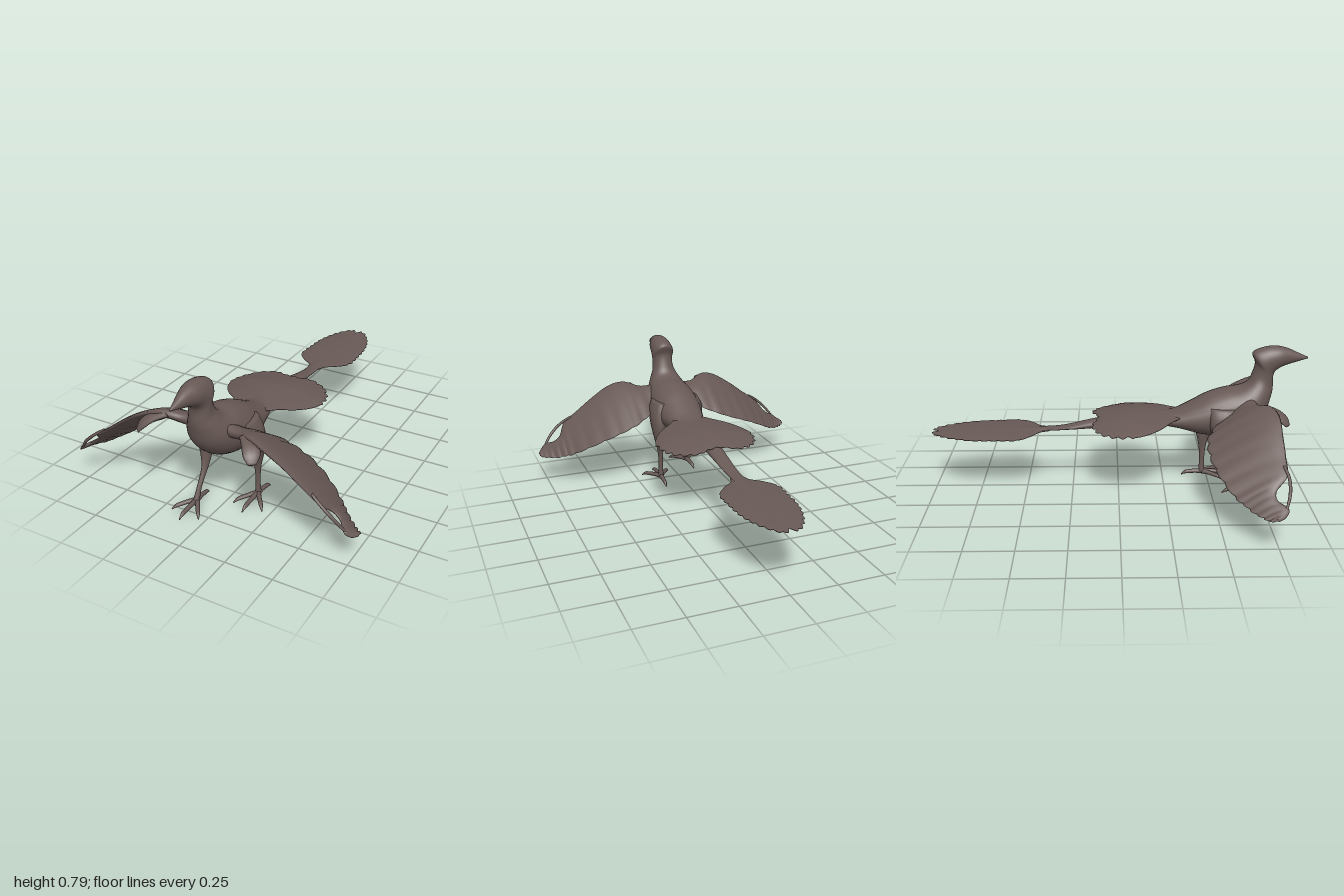
import * as THREE from 'three';

const V = (x, y, z) => new THREE.Vector3(x, y, z);
const TAU = Math.PI * 2;

// Smoothly resample rows of numbers, n steps per gap
function smooth(rows, n) {
  const out = [], last = rows.length - 1;
  for (let k = 0; k <= last * n; k++) {
    const i = Math.min(Math.floor(k / n), last - 1), t = k / n - i;
    const [p, a, b, q] = [i - 1, i, i + 1, i + 2].map(j => rows[Math.max(0, Math.min(last, j))]);
    out.push(a.map((v, c) => v + 0.5 * t * (b[c] - p[c]
      + t * (2 * p[c] - 5 * v + 4 * b[c] - q[c] + t * (3 * (v - b[c]) + q[c] - p[c])))));
  }
  return out;
}

// Closed skin over a list of equal-length rings, facing outward
function skin(rings) {
  const n = rings[0].length, pos = [], idx = [];
  rings.forEach(r => r.forEach(p => pos.push(p.x, p.y, p.z)));
  for (let i = 0; i < rings.length - 1; i++) {
    for (let j = 0; j < n; j++) {
      const a = i * n + j, b = i * n + (j + 1) % n;
      idx.push(a, b, a + n, b, b + n, a + n);
    }
  }
  [0, rings.length - 1].forEach((i, end) => {
    const c = rings[i].reduce((s, p) => s.add(p), V(0, 0, 0)).divideScalar(n);
    const ci = pos.length / 3;
    pos.push(c.x, c.y, c.z);
    for (let j = 0; j < n; j++) {
      const a = i * n + j, b = i * n + (j + 1) % n;
      idx.push(...(end ? [a, b, ci] : [b, a, ci]));
    }
  });
  // flip the winding if the enclosed volume is negative
  let vol = 0;
  const at = i => V(pos[i * 3], pos[i * 3 + 1], pos[i * 3 + 2]);
  for (let i = 0; i < idx.length; i += 3) vol += at(idx[i]).dot(at(idx[i + 1]).cross(at(idx[i + 2])));
  if (vol < 0) idx.reverse();
  const g = new THREE.BufferGeometry();
  g.setAttribute('position', new THREE.Float32BufferAttribute(pos, 3));
  g.setIndex(idx);
  g.computeVertexNormals();
  return g;
}

function ellipse(c, a, b, n = 14) {
  return Array.from({ length: n }, (_, j) => c.clone()
    .addScaledVector(a, Math.cos(j / n * TAU)).addScaledVector(b, Math.sin(j / n * TAU)));
}

// Tapered limb with horizontal rings: [x, y, z, rx, rz]
const limb = rows => skin(smooth(rows, 4).map(([x, y, z, rx, rz]) => ellipse(V(x, y, z), V(rx, 0, 0), V(0, 0, rz))));

// Tapered digit along a path: [x, y, z, halfWidth, halfHeight]
function digit(rows) {
  const s = smooth(rows, 4), a = s[0], e = s[s.length - 1];
  const dir = V(e[0] - a[0], e[1] - a[1], e[2] - a[2]).normalize();
  const side = V(0, 1, 0).cross(dir).normalize(), up = dir.clone().cross(side);
  return skin(s.map(([x, y, z, w, h]) => ellipse(V(x, y, z), side.clone().multiplyScalar(w), up.clone().multiplyScalar(h), 10)));
}

// Thin feather fan from half an outline [x, z] running rear to front
function fan(half, zc, lobes, scallopFrom, height) {
  const all = [...half, ...half.slice(1, -1).reverse().map(([x, z]) => [-x, z])];
  const curve = new THREE.CatmullRomCurve3(all.map(([x, z]) => V(x, 0, z)), true, 'centripetal');
  const n = 168;
  const edge = Array.from({ length: n }, (_, j) => {
    const p = curve.getPointAt(j / n);
    const k = p.z < scallopFrom ? 0.07 * (Math.abs(Math.sin(Math.PI * lobes * j / n)) - 0.7) : 0;
    return [p.x * (1 + k), zc + (p.z - zc) * (1 + k)];
  });
  const ring = (t, s) => edge.map(([ex, ez]) => {
    const x = ex * t, z = zc + (ez - zc) * t;
    return V(x, height(x, z) + s * (0.002 + 0.008 * (1 - t * t)), z);
  });
  const steps = [0.1, 0.3, 0.5, 0.7, 0.88, 1];
  return skin([...steps.map(t => ring(t, 1)), ...steps.reverse().map(t => ring(t, -1))]);
}

// Wing: [x, leading z, leading y, trailing z, trailing y, halfThickness]
function wing(s) {
  const rows = smooth([
    [0.08, 0.72, 0.50, 0.61, 0.46, 0.030], [0.16, 0.73, 0.505, 0.515, 0.41, 0.026],
    [0.25, 0.775, 0.535, 0.46, 0.375, 0.022], [0.34, 0.80, 0.515, 0.45, 0.34, 0.018],
    [0.44, 0.80, 0.455, 0.465, 0.30, 0.015], [0.54, 0.80, 0.38, 0.505, 0.25, 0.013],
    [0.62, 0.795, 0.32, 0.555, 0.205, 0.012], [0.66, 0.74, 0.262, 0.59, 0.188, 0.010],
    [0.70, 0.74, 0.228, 0.625, 0.170, 0.010], [0.74, 0.785, 0.205, 0.66, 0.163, 0.010],
    [0.77, 0.77, 0.18, 0.685, 0.160, 0.008], [0.79, 0.735, 0.168, 0.705, 0.163, 0.004],
  ], 6);
  return skin(rows.map(([x, fz, fy, rz, ry, h], i) => {
    const scallop = 0.012 * (Math.abs(Math.sin(i * Math.PI / 5)) - 0.5);
    return Array.from({ length: 20 }, (_, j) => {
      const c = Math.cos(j / 20 * TAU), q = Math.sin(j / 20 * TAU), t = (1 - c) / 2;
      return V(s * x, fy + (ry - fy) * t + q * h * (1 + 0.75 * c) + 0.03 * t * (1 - t),
        fz + (rz - scallop - fz) * t);
    });
  }));
}

export function createModel() {
  const group = new THREE.Group();
  const plumage = new THREE.MeshStandardMaterial({ color: 0x685955 });
  plumage.name = 'brownPlumage';
  const add = (name, geometry) => {
    const m = new THREE.Mesh(geometry, plumage);
    m.name = name;
    group.add(m);
  };

  // Beak, head, neck, trunk and tail root: [back z, back y, belly z, belly y, halfWidth]
  const trunk = smooth([
    [1.0, 0.73, 1.0, 0.722, 0.004], [0.95, 0.752, 0.94, 0.705, 0.022], [0.90, 0.775, 0.885, 0.688, 0.038],
    [0.84, 0.79, 0.85, 0.672, 0.054], [0.77, 0.785, 0.83, 0.655, 0.061], [0.707, 0.755, 0.822, 0.635, 0.064],
    [0.722, 0.70, 0.82, 0.61, 0.060], [0.708, 0.64, 0.822, 0.57, 0.063], [0.685, 0.597, 0.815, 0.52, 0.083],
    [0.64, 0.573, 0.785, 0.43, 0.112], [0.57, 0.563, 0.70, 0.345, 0.134], [0.48, 0.535, 0.58, 0.302, 0.138],
    [0.39, 0.487, 0.45, 0.31, 0.122], [0.29, 0.438, 0.32, 0.345, 0.092], [0.2, 0.43, 0.2, 0.36, 0.066],
    [0.05, 0.422, 0.05, 0.355, 0.05], [-0.15, 0.385, -0.15, 0.338, 0.041], [-0.3, 0.35, -0.3, 0.331, 0.035],
    [-0.45, 0.341, -0.45, 0.326, 0.030], [-0.9, 0.329, -0.9, 0.322, 0.005],
  ], 5);
  add('bodyHeadAndTailRoot', skin(trunk.map(([tz, ty, bz, by, w]) =>
    ellipse(V(0, (ty + by) / 2, (tz + bz) / 2), V(w, 0, 0), V(0, (ty - by) / 2, (tz - bz) / 2), 28))));

  // Feather fans of the tail
  add('innerTailFan', fan([[0, -0.11], [0.05, -0.12], [0.1, -0.14], [0.19, -0.11], [0.25, -0.04], [0.275, 0.06],
    [0.255, 0.14], [0.2, 0.22], [0.13, 0.28], [0.08, 0.33], [0, 0.34]], 0.08, 30, 0.08,
    (x, z) => 0.422 - 0.5 * x * x - Math.max(0, 0.05 - z) * 0.15));
  add('outerTailFan', fan([[0, -0.98], [0.03, -1.0], [0.08, -0.95], [0.125, -0.86], [0.15, -0.76], [0.158, -0.64],
    [0.155, -0.53], [0.1, -0.46], [0.05, -0.42], [0.03, -0.37], [0, -0.36]], -0.68, 32, -0.52,
    (x, z) => 0.331 + (z + 0.5) * 0.016 - 0.15 * x * x));

  // Wings with a clawed hand at the bend and a finger near the tip
  for (const [s, side] of [[1, 'left'], [-1, 'right']]) {
    add(side + 'Wing', wing(s));
    add(side + 'WingHand', digit([[s * 0.22, 0.525, 0.74, 0.03, 0.015], [s * 0.27, 0.515, 0.785, 0.042, 0.015],
      [s * 0.30, 0.49, 0.825, 0.04, 0.012], [s * 0.315, 0.46, 0.848, 0.02, 0.006]]));
    add(side + 'WingFinger', digit([[s * 0.58, 0.355, 0.785, 0.008, 0.008], [s * 0.64, 0.315, 0.80, 0.008, 0.008],
      [s * 0.70, 0.26, 0.795, 0.008, 0.008], [s * 0.75, 0.195, 0.77, 0.006, 0.006]]));
  }

  // Striding legs, left one behind
  add('leftLeg', limb([[0.105, 0.48, 0.53, 0.04, 0.08], [0.118, 0.42, 0.52, 0.048, 0.085],
    [0.125, 0.34, 0.49, 0.042, 0.065], [0.125, 0.26, 0.475, 0.029, 0.04], [0.122, 0.18, 0.472, 0.016, 0.02],
    [0.122, 0.09, 0.472, 0.012, 0.014], [0.122, 0.022, 0.472, 0.017, 0.018]]));
  add('rightLeg', limb([[-0.1, 0.48, 0.56, 0.04, 0.08], [-0.118, 0.42, 0.56, 0.048, 0.085],
    [-0.122, 0.34, 0.555, 0.042, 0.065], [-0.115, 0.26, 0.57, 0.029, 0.042], [-0.108, 0.18, 0.605, 0.016, 0.022],
    [-0.11, 0.09, 0.66, 0.012, 0.016], [-0.112, 0.022, 0.69, 0.017, 0.02]]));

  // Feet: three toes forward and one back, each ending in a claw
  const toes = [[-0.075, 0.105], [0, 0.15], [0.078, 0.10], [0.005, -0.11]];
  for (const [side, x, z] of [['left', 0.122, 0.475], ['right', -0.115, 0.675]]) {
    toes.forEach(([dx, dz], i) => {
      const dir = side === 'left' ? 1 : -1;
      const p = (t, y, w) => [x + dir * dx * t, y, z + dz * t, w, w];
      add(side + 'Toe' + (i + 1), digit([p(0, 0.026, 0.015), p(0.35, 0.026, 0.012), p(0.7, 0.022, 0.011),
        p(0.88, 0.018, 0.009), p(1.06, 0.004, 0.003)]));
    });
  }
  return group;
}
